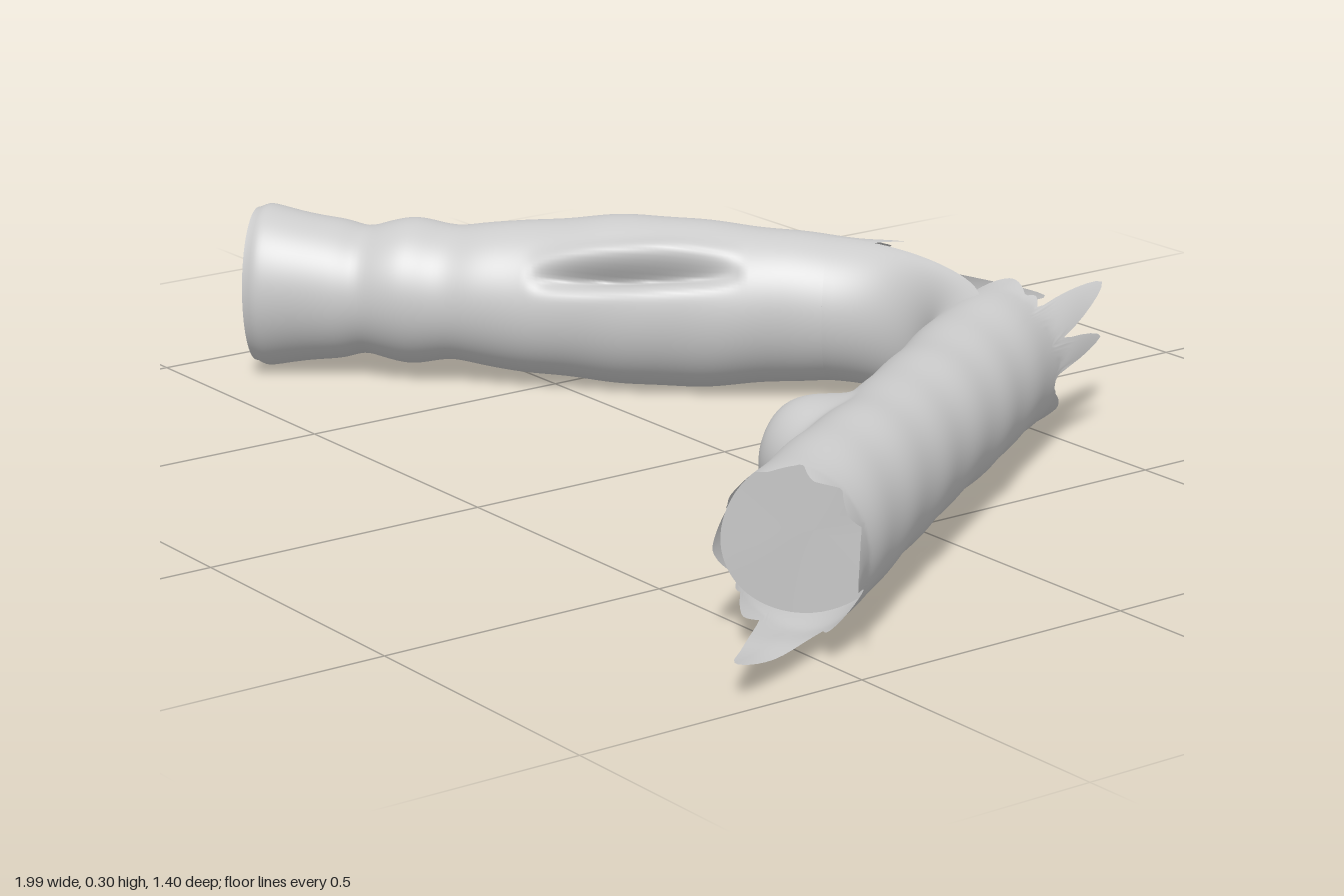
import * as THREE from 'three';

const DEG = Math.PI / 180, UP = new THREE.Vector3(0, 1, 0);
const material = new THREE.MeshStandardMaterial({ color: 0xcccccc, side: THREE.DoubleSide });
const { lerp, smoothstep } = THREE.MathUtils;
const gauss = (x, w) => Math.exp(-(x * x) / (w * w));
// signed difference of two angles in degrees, -180..180
const angDiff = (a, b) => ((((a - b + 180) % 360) + 360) % 360) - 180;

// Smooth sheet from fn(u, v); v wraps round when closed
function sheet(name, nu, nv, closed, fn) {
  const pos = [], idx = [], cols = closed ? nv : nv + 1;
  for (let i = 0; i <= nu; i++)
    for (let j = 0; j < cols; j++) pos.push(...fn(i / nu, j / nv).toArray());
  for (let i = 0; i < nu; i++)
    for (let j = 0; j < nv; j++) {
      const k = (j + 1) % cols, a = i * cols + j, b = a + cols, c = i * cols + k, d = c + cols;
      idx.push(a, b, c, b, d, c);
    }
  const geo = new THREE.BufferGeometry();
  geo.setAttribute('position', new THREE.Float32BufferAttribute(pos, 3));
  geo.setIndex(idx);
  geo.computeVertexNormals();
  const mesh = new THREE.Mesh(geo, material);
  mesh.name = name;
  return mesh;
}

// How far the torn rim reaches at an angle: teeth are [angle, length, half width]
function tear(deg, teeth, rough) {
  let e = rough * (Math.sin(deg * DEG * 17) + Math.sin(deg * DEG * 29 + 1)) * 0.5;
  for (const [at, len, w] of teeth) {
    const t = Math.min(1, Math.abs(angDiff(deg, at)) / w);
    e = Math.max(e, len * (1 - t ** 1.5));
  }
  return e;
}

// A log half: angle 0 is the inside of the bend, 90 the top, 180 the outside
function makeLog(origin, dir, radius) {
  const o = new THREE.Vector3(...origin), d = new THREE.Vector3(...dir).normalize();
  const n = d.clone().cross(UP);
  const point = (s, deg, k = 1) => {
    const a = deg * DEG;
    const bark = 0.001 * Math.sin(19 * s + a) + 0.001 * Math.sin(37 * s - 2 * a) + 0.002 * Math.sin(2 * a + 6 * s);
    const r = k * (radius(s, deg) + bark);
    return o.clone().addScaledVector(d, s)
      .addScaledVector(n, r * Math.cos(a)).addScaledVector(UP, r * 1.1 * Math.sin(a));
  };
  return { d, point };
}

// Bark tube: even rings between s = a and b, stretched rings out to each torn rim
const bark = (name, log, a, b, start, end) => sheet(name, 120, 144, true, (u, v) => {
  const deg = v * 360;
  let s = lerp(a, b, (u - 0.15) / 0.7);
  if (u < 0.15) s = lerp(start(deg), a, u / 0.15);
  if (u > 0.85) s = lerp(b, end(deg), (u - 0.85) / 0.15);
  return log.point(s, deg);
});

// Wood face closing a log; tilt moves its inner side along the axis, bulge its middle
const woodFace = (name, log, s, tilt, bulge) => sheet(name, 8, 72, true, (u, v) =>
  log.point(s + tilt * u * Math.cos(v * Math.PI * 2) + bulge * (1 - u * u), v * 360, u));

export function createModel() {
  const group = new THREE.Group();
  const JOIN = 1.03, LENGTH = 0.944;

  // Log with the sawn end, a small twig stub and a long scar
  const leftLog = makeLog([-0.915, 0.157, 0.355], [0.715, 0, -0.7], (s, deg) => {
    const scar = Math.max(0, 1 - ((s - 0.7) / 0.19) ** 2);
    const groove = 32 + 30 * (s - 0.7);
    const tall = Math.sin(deg * DEG) ** 2;
    return 0.113 + 0.012 * gauss(s, 0.1) + 0.011 * tall * gauss(s, 0.1) + 0.022 * gauss(s - 0.72, 0.24)
      - 0.007 * gauss(s - 0.2, 0.03) + 0.006 * gauss(s - 0.28, 0.04) - 0.005 * gauss(s - 0.36, 0.04)
      - 0.01 * gauss(s, 0.015)
      + 0.035 * gauss(s - 0.2, 0.035) * gauss(angDiff(deg, 180), 16)
      - 0.045 * scar * gauss(angDiff(deg, groove), 8)
      + 0.012 * scar * gauss(angDiff(deg, groove + 17), 9)
      - 0.04 * Math.max(0, s - JOIN - 0.1);
  });
  const leftTeeth = [[176, 0.32, 26], [205, 0.2, 18], [148, 0.08, 20], [250, 0.19, 28],
    [280, 0.22, 36], [100, 0.08, 24], [125, 0.05, 12]];
  group.add(bark('sawnLog', leftLog, 0.12, 0.95, () => 0, (deg) =>
    JOIN + smoothstep(Math.abs(angDiff(deg, 0)), 62, 74) * (0.05 + tear(deg, leftTeeth, 0.02))));
  group.add(woodFace('sawnEnd', leftLog, 0, 0, -0.008));
  group.add(woodFace('sawnLogBreak', leftLog, JOIN, 0, 0.02));

  // Log torn at both ends, with a thick branch stump on the inside
  const rightLog = makeLog([0.29, 0.153, -0.313], [0.551, 0, 0.835], (s, deg) => {
    const spread = Math.hypot((s - 0.545) / 0.165, angDiff(deg, 6) / 58);
    const stump = 1 - smoothstep(spread, 0.25, 1);
    const outer = Math.max(0, -Math.cos(deg * DEG)), under = Math.max(0, -Math.sin(deg * DEG));
    return 0.113 + 0.004 * gauss(s - 0.8, 0.2) + 0.07 * stump
      + outer * (0.3 * Math.max(0, -s - 0.1) + 0.2 * Math.max(0, s - LENGTH))
      - 0.13 * under * Math.max(0, s - LENGTH);
  });
  const backTeeth = [[145, 0.22, 18], [172, 0.16, 14], [279, 0.26, 44], [90, 0.1, 34],
    [120, 0.06, 14], [220, 0.07, 24]];
  const frontTeeth = [[180, 0.13, 24], [267, 0.28, 30], [228, 0.08, 20], [305, 0.06, 16],
    [0, 0.05, 24], [40, 0.035, 16], [75, 0.04, 18], [112, 0.05, 16], [145, 0.06, 16]];
  group.add(bark('tornLog', rightLog, 0.08, 0.88,
    (deg) => -smoothstep(Math.abs(angDiff(deg, 0)), 62, 74) * (0.07 + tear(deg, backTeeth, 0.02)),
    (deg) => LENGTH + tear(deg, frontTeeth, 0.015)));
  group.add(woodFace('tornLogBackBreak', rightLog, 0, -0.04, 0));
  group.add(woodFace('tornLogFrontBreak', rightLog, 0.86, 0.1, 0));

  // Strip of bark still holding both logs together on the inside of the bend
  group.add(sheet('barkHinge', 28, 40, false, (u, v) => {
    const deg = -88 + 174 * v;
    const k = 0.13 + 0.035 * Math.cos(deg * DEG);
    const p0 = leftLog.point(JOIN, deg), p1 = rightLog.point(0, deg);
    return new THREE.CubicBezierCurve3(p0, p0.clone().addScaledVector(leftLog.d, k),
      p1.clone().addScaledVector(rightLog.d, -k), p1).getPoint(u);
  }));
  return group;
}
